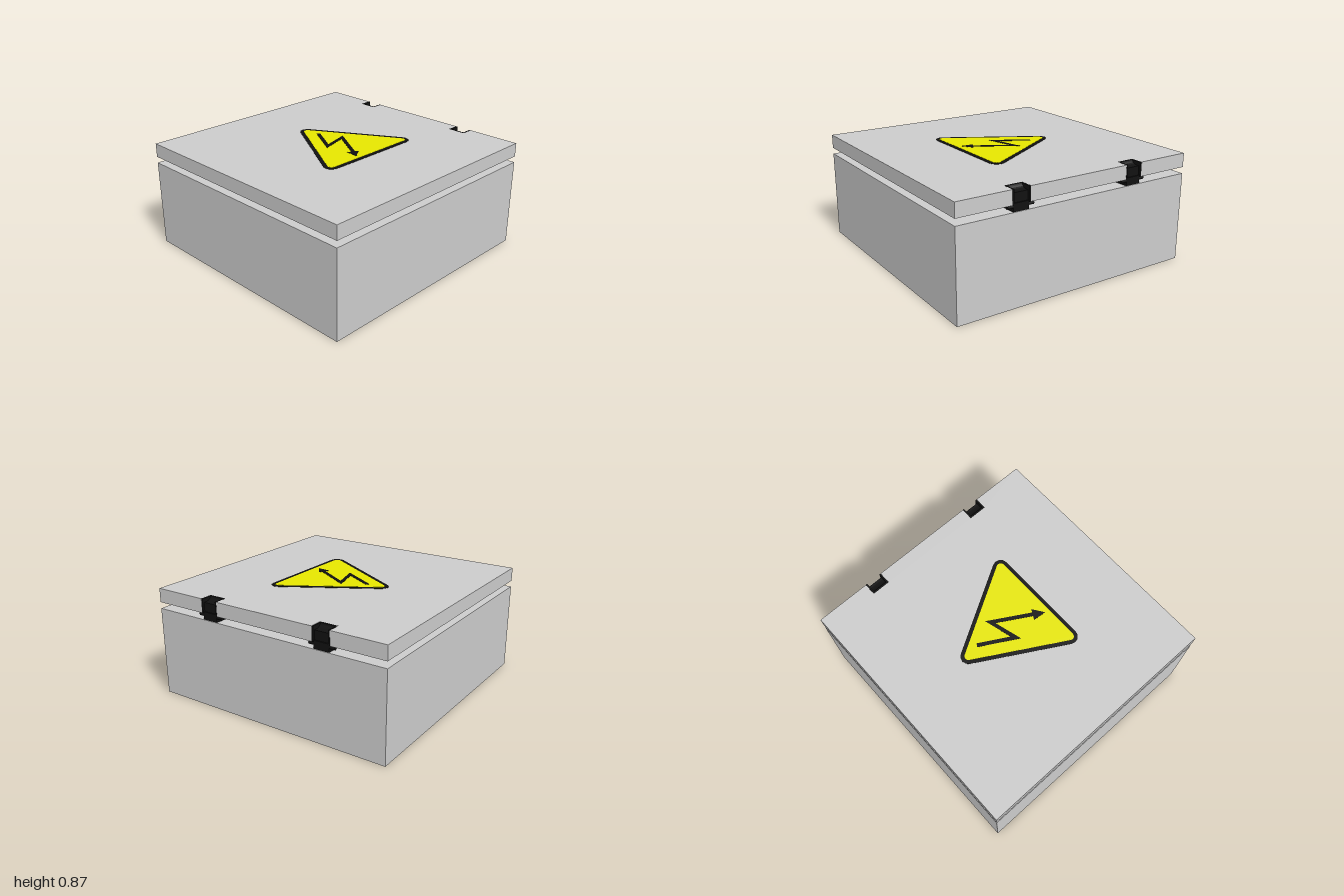
import * as THREE from 'three';

const mat = (color) => new THREE.MeshStandardMaterial({ color });
const grey = mat(0xcccccc);
const black = mat(0x111111);
const yellow = mat(0xe6e600);
const CLIP_Z = [0.495, -0.492];
const NOTCH = 0.073; // half width of a clip notch

function add(parent, name, geometry, material, x = 0, y = 0, z = 0) {
  const mesh = new THREE.Mesh(geometry, material);
  mesh.name = name;
  mesh.position.set(x, y, z);
  parent.add(mesh);
  return mesh;
}

// Horizontal plate from [x, z] points, rising from y = 0
function plate(points, height) {
  const shape = new THREE.Shape(points.map(([x, z]) => new THREE.Vector2(x, -z)));
  const g = new THREE.ExtrudeGeometry(shape, { depth: height, bevelEnabled: false });
  return g.rotateX(-Math.PI / 2);
}

// Triangle with rounded corners of radius r
function roundedTriangle(r) {
  const corners = [[0.42, 0.31, 90], [-0.36, 0.31, 210], [0.03, -0.36, 330]];
  const points = [];
  for (const [x, z, end] of corners) {
    for (let i = 0; i <= 4; i++) {
      const a = THREE.MathUtils.degToRad(end - 120 + i * 30);
      points.push([x + r * Math.cos(a), z + r * Math.sin(a)]);
    }
  }
  return points;
}

// Outline of a mitred stroke along an open path
function stroke(path, width) {
  const p = path.map(([x, z]) => new THREE.Vector2(x, z));
  const normal = (i) => {
    const d = p[i + 1].clone().sub(p[i]).normalize();
    return new THREE.Vector2(-d.y, d.x);
  };
  const left = [], right = [];
  p.forEach((q, i) => {
    const a = normal(Math.max(i - 1, 0));
    const b = normal(Math.min(i, p.length - 2));
    const m = a.clone().add(b).normalize();
    m.multiplyScalar(width / 2 / m.dot(a));
    left.push([q.x + m.x, q.y + m.y]);
    right.unshift([q.x - m.x, q.y - m.y]);
  });
  return left.concat(right);
}

// Latch clip: scooped body between two cheeks, with a foot and a hinge pin
function makeClip(z) {
  const clip = new THREE.Group();
  clip.name = 'latchClip';
  clip.position.z = z;

  const profile = new THREE.Shape();
  profile.moveTo(0.9, 0.75);
  profile.lineTo(0.985, 0.75);
  profile.lineTo(0.985, 0.83);
  profile.quadraticCurveTo(0.925, 0.825, 0.915, 0.86);
  profile.lineTo(0.9, 0.86);
  const body = new THREE.ExtrudeGeometry(profile, { depth: 0.12, bevelEnabled: false, curveSegments: 6 });
  add(clip, 'clipBody', body, black, 0, 0, -0.06);

  for (const side of [-1, 1]) {
    add(clip, 'clipCheek', new THREE.BoxGeometry(0.1, 0.11, 0.012), black, 0.95, 0.805, side * 0.066);
  }
  add(clip, 'clipFoot', new THREE.BoxGeometry(0.145, 0.06, 0.125), black, 0.922, 0.73, 0);
  const pin = new THREE.CylinderGeometry(0.015, 0.015, 0.21, 10).rotateX(Math.PI / 2);
  add(clip, 'clipPin', pin, black, 0.98, 0.737, 0);
  return clip;
}

export function createModel() {
  const model = new THREE.Group();
  model.name = 'electricalBox';

  add(model, 'boxBody', new THREE.BoxGeometry(2, 0.7, 2), grey, 0, 0.35, 0);
  add(model, 'raisedSeal', new THREE.BoxGeometry(1.6, 0.042, 1.6), grey, 0, 0.721, 0);

  // Lid with a notch for each clip in its +x edge
  const outline = [[-1, -1], [-1, 1], [1, 1]];
  for (const z of CLIP_Z) {
    outline.push([1, z + NOTCH], [0.9, z + NOTCH], [0.9, z - NOTCH], [1, z - NOTCH]);
  }
  outline.push([1, -1]);
  add(model, 'lid', plate(outline, 0.11), grey, 0, 0.75, 0);

  for (const z of CLIP_Z) model.add(makeClip(z));

  // Warning sign
  const sign = new THREE.Group();
  sign.name = 'warningSign';
  sign.position.y = 0.859;
  model.add(sign);
  add(sign, 'signBorder', plate(roundedTriangle(0.06), 0.003), black);
  add(sign, 'signField', plate(roundedTriangle(0.03), 0.0045), yellow);
  const bolt = [[0.053, -0.256], [-0.095, 0.002], [0.125, -0.058], [-0.045, 0.23]];
  add(sign, 'boltLine', plate(stroke(bolt, 0.03), 0.006), black);
  add(sign, 'boltArrowhead', plate([[-0.083, 0.2], [-0.003, 0.244], [-0.092, 0.305]], 0.006), black);

  return model;
}
